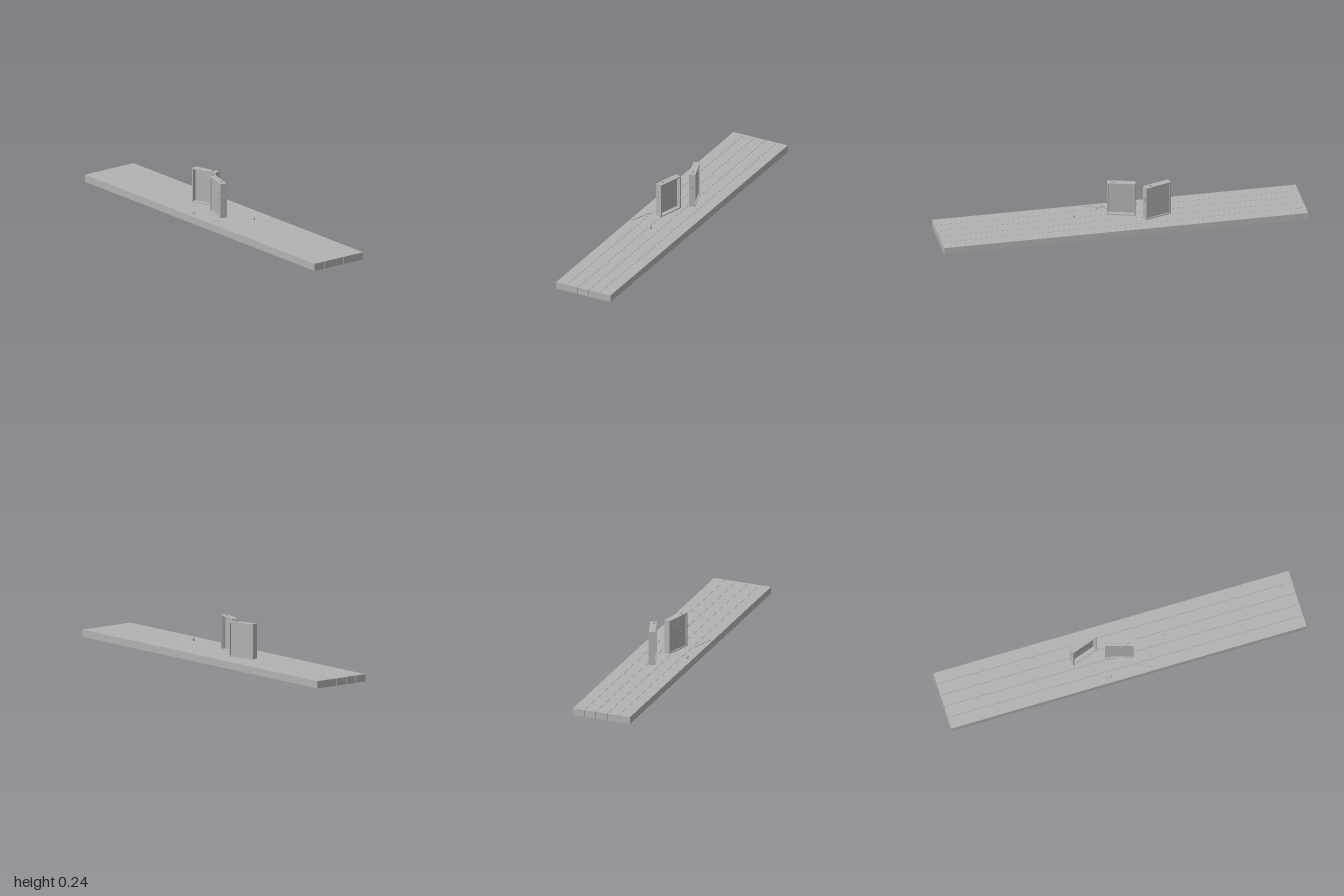
import * as THREE from 'three';

const grey = new THREE.MeshStandardMaterial({ color: 0xb2b2b2 });
grey.name = 'plain grey';

function add(parent, name, geometry, x, y, z) {
  const mesh = new THREE.Mesh(geometry, grey);
  mesh.name = name;
  mesh.position.set(x, y, z);
  parent.add(mesh);
  return mesh;
}
const box = (w, h, d) => new THREE.BoxGeometry(w, h, d);

function seeded(seed) {
  return () => (seed = (seed * 16807) % 2147483647) / 2147483647;
}

// Upright shallow case: four walls round a panel, with small fittings
function makeCase(name, panelZ, seed) {
  const g = new THREE.Group();
  g.name = name;
  const W = 0.153, H = 0.192, D = 0.036, T = 0.006;
  for (const s of [-1, 1]) {
    add(g, 'sideWall', box(T, H, D), s * (W - T) / 2, H / 2, 0);
    add(g, 'endWall', box(W - 2 * T, T, D), 0, H / 2 + s * (H - T) / 2, 0);
  }
  add(g, 'panel', box(W - 2 * T, H - 2 * T, 0.004), 0, H / 2, panelZ);

  // Top knob with a smaller cap
  add(g, 'knob', new THREE.CylinderGeometry(0.008, 0.008, 0.005, 12), 0.044, H + 0.0025, 0.002);
  add(g, 'knobCap', new THREE.CylinderGeometry(0.005, 0.006, 0.003, 12), 0.044, H + 0.0065, 0.002);
  // Side latch and pin
  add(g, 'latch', box(0.005, 0.016, 0.012), W / 2 + 0.002, 0.118, 0.002);
  add(g, 'pin', new THREE.SphereGeometry(0.002, 8, 6), W / 2, 0.032, 0.002);

  // Fine relief on the front of the panel
  const face = panelZ + 0.002;
  const random = seeded(seed);
  for (let i = 0; i < 26; i++) {
    const size = 0.002 + random() * 0.003;
    add(g, 'stud', box(size, size, 0.002), (random() - 0.5) * 0.1, H / 2 + (random() - 0.5) * 0.14, face);
  }
  const arc = add(g, 'arc', new THREE.TorusGeometry(0.035, 0.0012, 5, 24, 2.4), 0, 0.11, face);
  arc.rotation.z = -0.6;
  return g;
}

export function createModel() {
  const model = new THREE.Group();

  // Five long planks with narrow gaps
  for (let i = -2; i <= 2; i++) add(model, 'plank', box(2, 0.04, 0.0652), 0, 0.02, i * 0.0667);

  // Two angled cases
  const frontOpen = makeCase('frontOpenCase', -0.008, 17);
  frontOpen.position.set(-0.198, 0.04, -0.03);
  frontOpen.rotation.y = 0.33;
  const backOpen = makeCase('backOpenCase', 0.009, 91);
  backOpen.position.set(-0.013, 0.04, 0.028);
  backOpen.rotation.y = -0.28;
  model.add(frontOpen, backOpen);

  // Small tool lying on the front planks
  const tool = new THREE.Group();
  tool.name = 'tool';
  tool.position.set(0.115, 0.0415, 0.132);
  tool.rotation.y = -0.35;
  add(tool, 'shaft', box(0.13, 0.003, 0.004), 0, 0, 0);
  add(tool, 'crossBar', box(0.05, 0.003, 0.004), -0.03, 0, 0).rotation.y = 0.9;
  model.add(tool);

  // Two loose buttons
  for (const x of [-0.112, -0.094]) {
    add(model, 'button', new THREE.CylinderGeometry(0.007, 0.008, 0.006, 12), x, 0.043, 0.13);
    add(model, 'buttonCap', new THREE.SphereGeometry(0.004, 8, 6), x, 0.047, 0.13);
  }

  // Small floating cube and drifting specks
  add(model, 'cube', box(0.009, 0.012, 0.009), 0.253, 0.072, -0.007);
  for (let i = 0; i < 10; i++) {
    const a = i * 0.63;
    add(model, 'speck', new THREE.SphereGeometry(0.0015, 6, 4),
      0.175 + 0.033 * Math.cos(a), 0.165 + 0.035 * Math.sin(a), -0.025 + 0.015 * Math.cos(a * 2));
  }
  return model;
}
